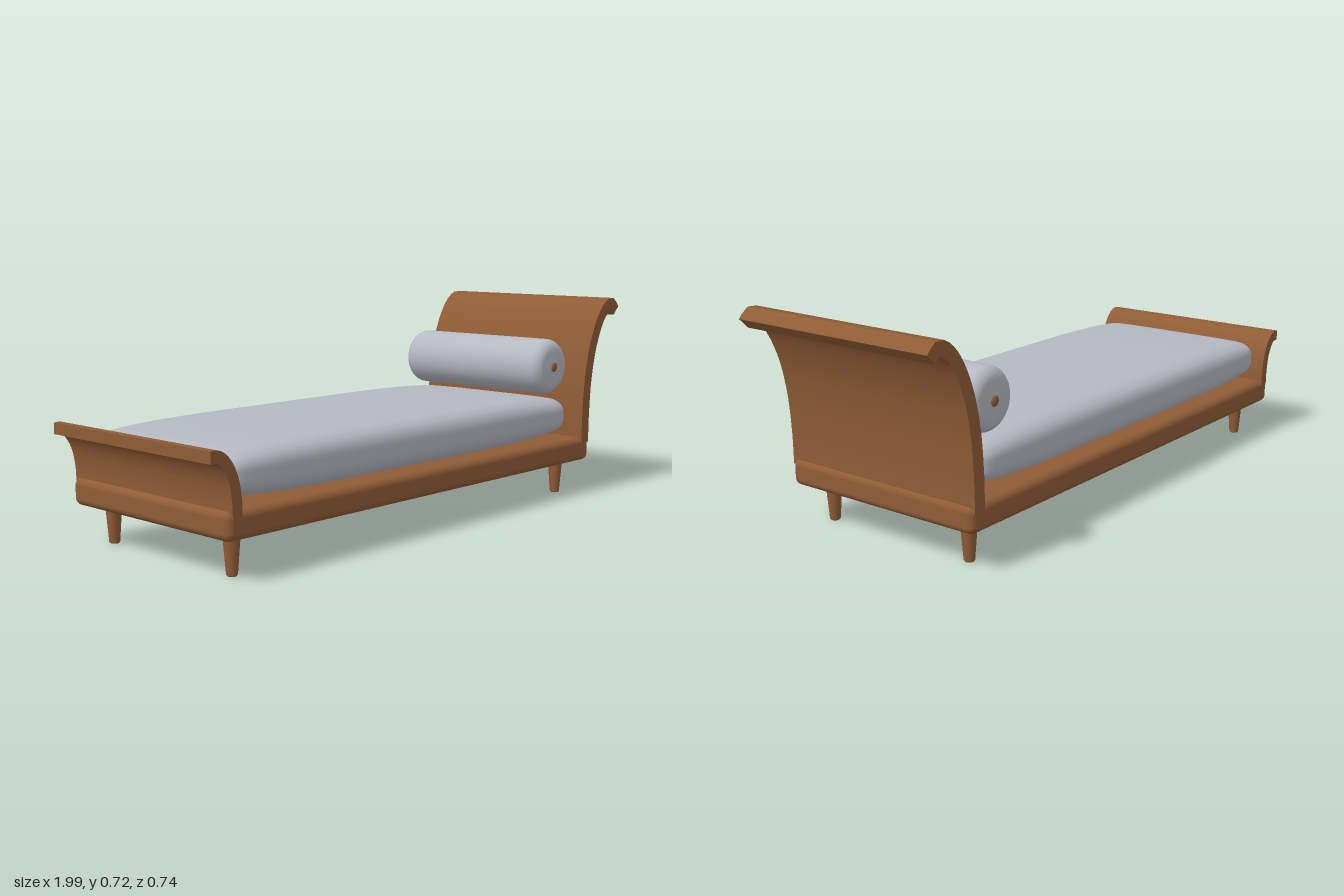
import * as THREE from 'three';
import { mergeVertices, toCreasedNormals } from 'three/addons/utils/BufferGeometryUtils.js';
import { RoundedBoxGeometry } from 'three/addons/geometries/RoundedBoxGeometry.js';

const wood = new THREE.MeshStandardMaterial({ color: 0x8f5c36 });
wood.name = 'wood';
const fabric = new THREE.MeshStandardMaterial({ color: 0xb5b9c2 });
fabric.name = 'fabric';

function part(name, geometry, material, x = 0, y = 0, z = 0) {
  const mesh = new THREE.Mesh(geometry, material);
  mesh.name = name;
  mesh.position.set(x, y, z);
  return mesh;
}

// A board of even thickness that follows a centre line, spanning the bed's depth
function scrollBoard(points, thickness, depth) {
  const curve = new THREE.CatmullRomCurve3(points.map(([x, y]) => new THREE.Vector3(x, y, 0)));
  const a = [], b = [], n = 32;
  for (let i = 0; i <= n; i++) {
    const p = curve.getPointAt(i / n), t = curve.getTangentAt(i / n);
    const ox = -t.y * thickness / 2, oy = t.x * thickness / 2;
    a.push(new THREE.Vector2(p.x + ox, p.y + oy));
    b.unshift(new THREE.Vector2(p.x - ox, p.y - oy));
  }
  const geo = new THREE.ExtrudeGeometry(new THREE.Shape([...a, ...b]), { depth, bevelEnabled: false });
  geo.translate(0, 0, -depth / 2);
  return toCreasedNormals(geo, 0.6);
}

// A soft box: rounded edges, thinner and narrower toward its ends
function mattressGeometry(hx, hy, hz, r) {
  let geo = new THREE.BoxGeometry(hx * 2, hy * 2, hz * 2, 70, 14, 32);
  geo.deleteAttribute('uv');
  geo.deleteAttribute('normal');
  geo = mergeVertices(geo);
  const pos = geo.attributes.position, p = new THREE.Vector3(), core = new THREE.Vector3();
  const inner = new THREE.Vector3(hx - r, hy - r, hz - r), neg = inner.clone().negate();
  for (let i = 0; i < pos.count; i++) {
    p.fromBufferAttribute(pos, i);
    core.copy(p).clamp(neg, inner);
    p.sub(core).setLength(r).add(core);
    const u = Math.abs(p.x / hx), w = Math.abs(p.z / hz);
    p.y *= (1 - 0.28 * u ** 5) * (1 - 0.08 * w ** 4);
    p.z *= 1 - 0.04 * u ** 6;
    pos.setXYZ(i, p.x, p.y, p.z);
  }
  geo.computeVertexNormals();
  return geo;
}

// Lathe profile of a round cushion with softened rims and slightly domed ends
function bolsterGeometry(radius, half, r) {
  const pts = [new THREE.Vector2(0, -half)];
  for (let i = 0; i <= 8; i++) {
    const t = i / 8 * Math.PI / 2;
    pts.push(new THREE.Vector2(radius - r + r * Math.sin(t), -half + 0.004 + r - r * Math.cos(t)));
  }
  const top = pts.map(p => new THREE.Vector2(p.x, -p.y)).reverse();
  return new THREE.LatheGeometry([...pts, ...top], 40).rotateX(Math.PI / 2);
}

export function createModel() {
  const bed = new THREE.Group();
  bed.name = 'daybed';

  // Base frame
  bed.add(part('baseFrame', new RoundedBoxGeometry(1.764, 0.088, 0.736, 5, 0.024), wood, -0.06, 0.166, 0));

  // Scrolled end boards
  bed.add(part('headboard', scrollBoard([
    [0.789, 0.19], [0.791, 0.3], [0.803, 0.43], [0.832, 0.55],
    [0.878, 0.644], [0.918, 0.685], [0.95, 0.695], [0.977, 0.668]], 0.044, 0.74), wood));
  bed.add(part('footboard', scrollBoard([
    [-0.907, 0.19], [-0.91, 0.25], [-0.924, 0.31], [-0.95, 0.353],
    [-0.975, 0.37], [-1, 0.37]], 0.036, 0.74), wood));

  // Tapered legs with a softened foot
  const legProfile = [[0, 0], [0.014, 0], [0.017, 0.004], [0.027, 0.13]]
    .map(([x, y]) => new THREE.Vector2(x, y));
  for (const x of [-0.853, 0.732]) {
    for (const z of [-0.279, 0.279]) {
      bed.add(part('leg', new THREE.LatheGeometry(legProfile, 24), wood, x, 0, z));
    }
  }

  // Mattress
  bed.add(part('mattress', mattressGeometry(0.83, 0.081, 0.343, 0.06), fabric, -0.085, 0.294, 0));

  // Bolster cushion with a button at each end
  const bolster = new THREE.Group();
  bolster.name = 'bolster';
  bolster.position.set(0.656, 0.476, 0);
  bolster.add(part('bolsterCushion', bolsterGeometry(0.1, 0.32, 0.04), fabric));
  for (const s of [-1, 1]) {
    const button = part('bolsterButton', new THREE.SphereGeometry(0.017, 20, 12), wood, 0, 0, s * 0.319);
    button.scale.z = 0.4;
    bolster.add(button);
  }
  bed.add(bolster);
  return bed;
}
